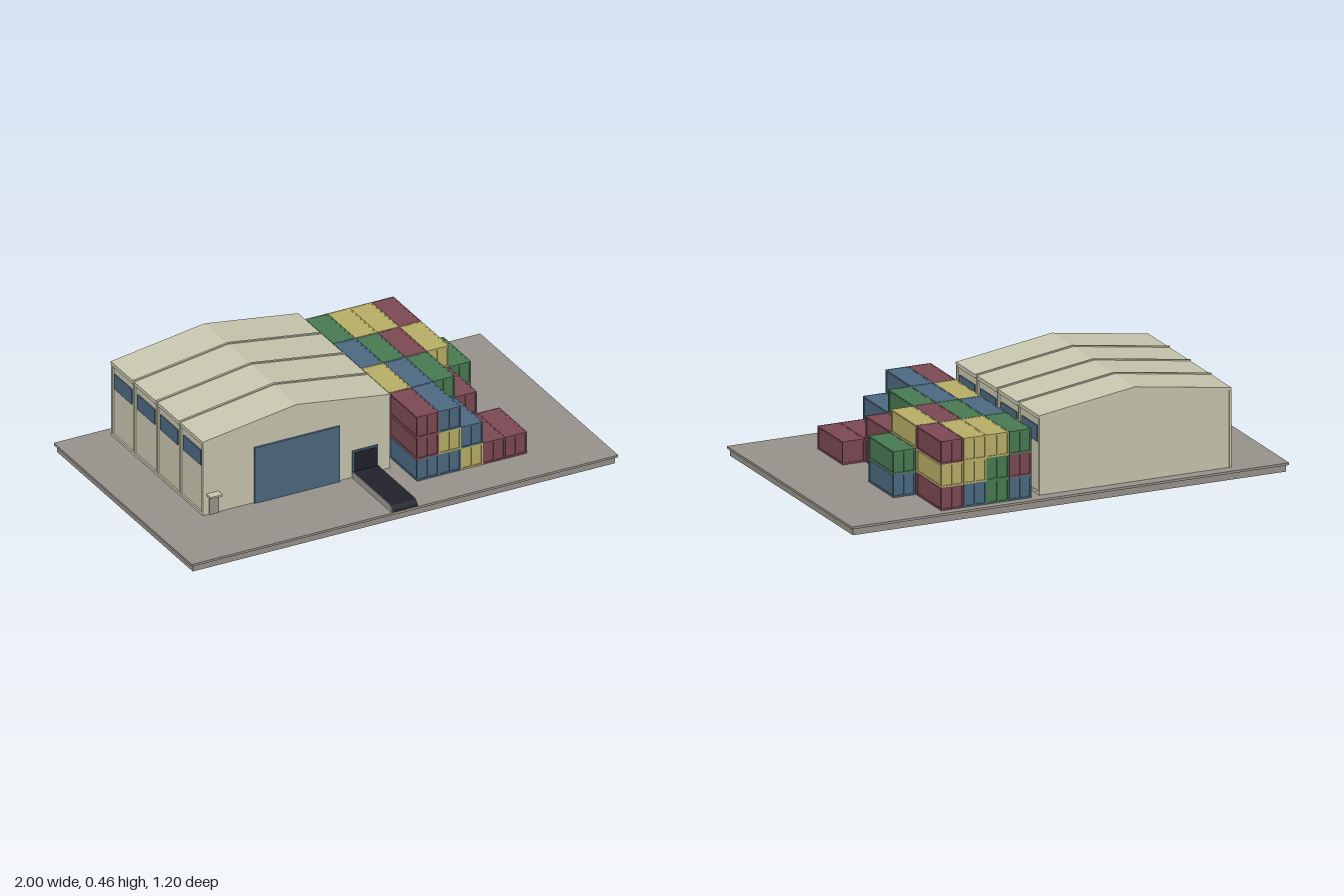
import * as THREE from 'three';

const mat = (name, color) => {
  const m = new THREE.MeshStandardMaterial({ color });
  m.name = name;
  return m;
};

export function createModel() {
  const root = new THREE.Group();
  root.name = 'warehouseYard';
  const concrete = mat('concrete', 0x99938c);
  const cream = mat('cream', 0xc9c8b0);
  const blue = mat('blue', 0x4d6a82);
  const red = mat('red', 0x7d4a54);
  const green = mat('green', 0x497b53);
  const yellow = mat('yellow', 0xbab068);
  const dark = mat('dark', 0x20212b);
  const grey = mat('grey', 0x9b9890);

  // Box given by its limits on each axis
  const box = (parent, name, m, x0, x1, y0, y1, z0, z1) => {
    const mesh = new THREE.Mesh(new THREE.BoxGeometry(x1 - x0, y1 - y0, z1 - z0), m);
    mesh.position.set((x0 + x1) / 2, (y0 + y1) / 2, (z0 + z1) / 2);
    mesh.name = name;
    parent.add(mesh);
    return mesh;
  };
  // Outline in x and y, extruded from z0 to z1
  const prism = (parent, name, m, points, z0, z1) => {
    const shape = new THREE.Shape(points.map(([x, y]) => new THREE.Vector2(x, y)));
    const geo = new THREE.ExtrudeGeometry(shape, { depth: z1 - z0, bevelEnabled: false });
    const mesh = new THREE.Mesh(geo, m);
    mesh.position.z = z0;
    mesh.name = name;
    parent.add(mesh);
    return mesh;
  };

  // Ground slab with a slightly wider top
  box(root, 'slabBase', concrete, -0.99, 0.99, 0, 0.03, -0.59, 0.59);
  box(root, 'slabTop', concrete, -1, 1, 0.03, 0.04, -0.6, 0.6);

  // Warehouse, built around its own centre line
  const hall = new THREE.Group();
  hall.name = 'warehouse';
  hall.position.x = -0.32;
  root.add(hall);
  const gable = (w, eave, ridge) => [[-w, 0.04], [w, 0.04], [w, eave], [0, ridge], [-w, eave]];
  const chevron = (w, eave, ridge, t) =>
    [[-w, eave - t], [0, ridge - t], [w, eave - t], [w, eave], [0, ridge], [-w, eave]];
  prism(hall, 'hallCore', cream, gable(0.432, 0.376, 0.44), -0.545, 0.245);
  prism(hall, 'frontGable', cream, gable(0.439, 0.38, 0.445), 0.24, 0.249);
  prism(hall, 'backGable', cream, gable(0.439, 0.38, 0.445), -0.549, -0.54);
  prism(hall, 'roof', cream, chevron(0.44, 0.385, 0.45, 0.01), -0.55, 0.25);
  for (const z of [0.05, -0.15, -0.35]) {
    prism(hall, 'roofRib', cream, chevron(0.442, 0.39, 0.455, 0.02), z - 0.005, z + 0.005);
  }

  // Side walls: pillars, rails and high windows
  for (const s of [-1, 1]) {
    const side = (name, m, a, b, y0, y1, z0, z1) =>
      box(hall, name, m, Math.min(s * a, s * b), Math.max(s * a, s * b), y0, y1, z0, z1);
    for (const z of [-0.544, -0.35, -0.15, 0.05, 0.244]) {
      side('wallPillar', cream, 0.43, 0.439, 0.04, 0.378, z - 0.006, z + 0.006);
    }
    side('wallTopRail', cream, 0.43, 0.4385, 0.367, 0.378, -0.545, 0.245);
    side('wallBottomRail', cream, 0.43, 0.4385, 0.04, 0.052, -0.545, 0.245);
    for (let i = 0; i < 4; i++) {
      const z = -0.45 + i * 0.2;
      side('sideWindow', blue, 0.43, 0.437, 0.265, 0.335, z - 0.075, z + 0.075);
    }
  }

  // Main gate, loading hatch and staff door on the front
  box(root, 'mainGate', blue, -0.52, -0.12, 0.04, 0.3, 0.248, 0.258);
  box(root, 'hatchFrame', blue, -0.06, 0.06, 0.04, 0.165, 0.248, 0.255);
  box(root, 'hatchOpening', dark, -0.054, 0.054, 0.04, 0.158, 0.25, 0.257);
  box(root, 'staffDoor', grey, -0.73, -0.687, 0.04, 0.125, 0.248, 0.255);
  box(root, 'staffDoorCanopy', cream, -0.742, -0.685, 0.13, 0.138, 0.248, 0.285);

  // Conveyor with a rounded outer end
  const belt = (name, m, x0, x1, top) => {
    const s = new THREE.Shape();
    s.moveTo(0.25, 0.04);
    s.lineTo(0.6, 0.04);
    s.absarc(0.57, 0.04, 0.03, 0, Math.PI / 2, false);
    s.lineTo(0.25, 0.07);
    s.closePath();
    const geo = new THREE.ExtrudeGeometry(s, { depth: x1 - x0, bevelEnabled: false, curveSegments: 8 });
    const mesh = new THREE.Mesh(geo, m);
    mesh.rotation.y = -Math.PI / 2;
    mesh.scale.set(1, 1, 1);
    mesh.position.x = x1;
    mesh.name = name;
    root.add(mesh);
  };
  belt('conveyorBelt', dark, -0.058, 0.058);
  belt('conveyorSideLeft', grey, 0.058, 0.06);
  belt('conveyorSideRight', grey, -0.06, -0.058);

  // Shipping container: recessed body in a frame of posts and rails
  const W = 0.051, H = 0.1, L = 0.1205, T = 0.007, D = 0.004;
  const container = (m, x, y, z) => {
    const g = new THREE.Group();
    g.name = 'container';
    g.position.set(x, y, z);
    root.add(g);
    box(g, 'containerBody', m, -W + D, W - D, 0.001, H - 0.001, -L + D, L - D);
    for (const s of [-1, 1]) {
      const x0 = s < 0 ? -W : W - T;
      const z0 = s < 0 ? -L : L - T;
      for (const e of [-1, 1]) {
        const ze = e < 0 ? -L : L - T;
        box(g, 'containerPost', m, x0, x0 + T, T, H - T, ze, ze + T);
      }
      for (const y0 of [0, H - T]) {
        box(g, 'containerSideRail', m, x0, x0 + T, y0, y0 + T, -L, L);
        box(g, 'containerEndRail', m, -W + T, W - T, y0, y0 + T, z0, z0 + T);
      }
      box(g, 'containerDoorBar', m, -0.003, 0.003, T, H - T, z0, z0 + T);
    }
    box(g, 'containerRoof', m, -W + T, W - T, H - 0.003, H - 0.0005, -L + T, L - T);
  };

  // Stacks from front row to back row, colours listed bottom to top
  const colours = { B: blue, R: red, G: green, Y: yellow };
  const rows = [
    ['BRR', 'BYB', 'YB', 'R', 'R'],
    ['GRY', 'RYB', 'BYG', 'RR'],
    ['YGB', 'BRG', 'GBR', 'RRY', 'BG'],
    ['BRG', 'GGY', 'BYY', 'RYR'],
  ];
  rows.forEach((row, r) => row.forEach((stack, c) => [...stack].forEach((k, i) =>
    container(colours[k], 0.212 + c * 0.1035, 0.04 + i * H, 0.2855 - r * 0.243))));

  return root;
}
